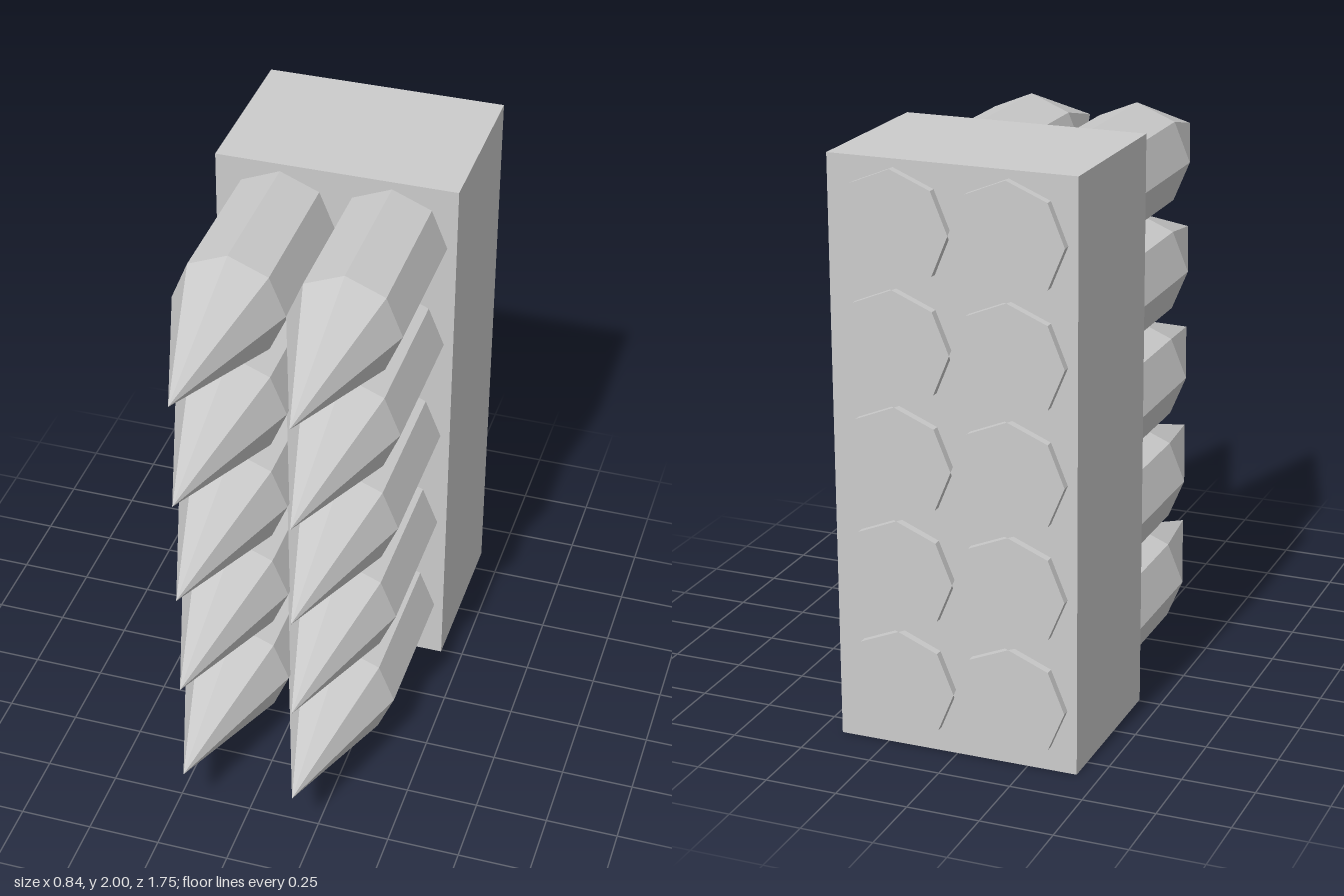
import * as THREE from 'three';

export function createModel() {
  const model = new THREE.Group();
  model.name = 'spikedBlock';
  const material = new THREE.MeshStandardMaterial({ color: 0xcccccc, flatShading: true });

  // Upright block that holds the spikes
  const block = new THREE.Mesh(new THREE.BoxGeometry(0.844, 2, 0.604), material);
  block.name = 'block';
  block.position.set(0, 1, -0.543);
  model.add(block);

  // Eight-sided spike: flat back end, straight shaft, pointed tip towards +z
  const radius = 0.1945;
  const profile = [[0, -0.873], [radius, -0.873], [radius, 0.3], [0, 0.873]]
    .map(([r, y]) => new THREE.Vector2(r, y));
  const spikeGeometry = new THREE.LatheGeometry(profile, 8).rotateX(Math.PI / 2);

  // Two columns of five spikes, touching side by side
  for (let row = 0; row < 5; row++) {
    for (const side of [-1, 1]) {
      const spike = new THREE.Mesh(spikeGeometry, material);
      spike.name = `${side > 0 ? 'left' : 'right'}Spike${row + 1}`;
      spike.position.set(side * radius, 1 + (row - 2) * 2 * radius, 0);
      model.add(spike);
    }
  }
  return model;
}
